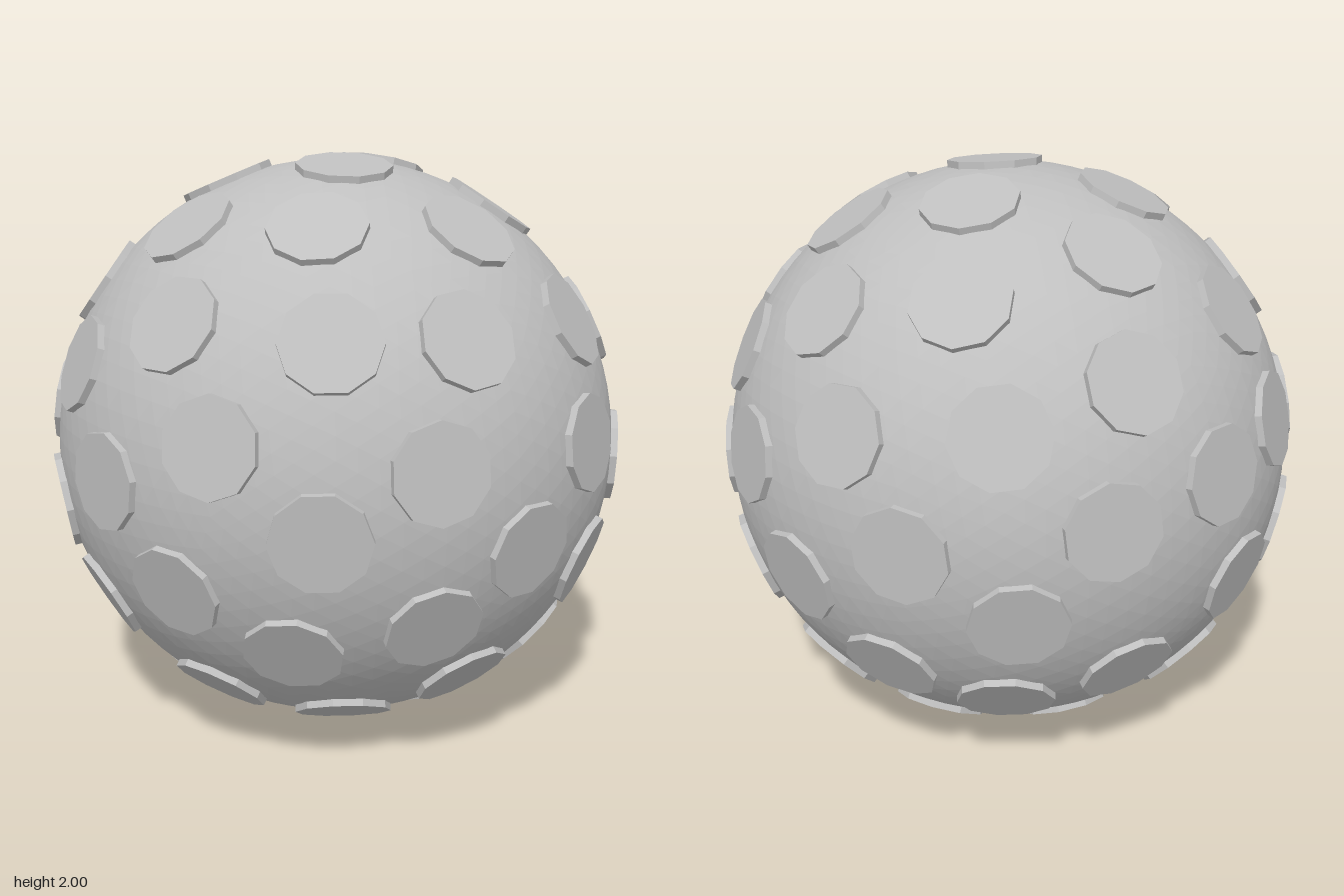
import * as THREE from 'three';

const BALL_RADIUS = 0.977;
const DISC_RADIUS = 0.163;
const DISC_TOP = 0.987;   // distance of a disc's flat face from the centre
const DISC_DEPTH = 0.05;

// Scattered disc directions, grouped by the side they face.
// Each pair gives the two minor coordinates; the major one follows from the sphere.
const top = [ // x, z
  [-0.065, 0.14], [0.275, -0.12], [-0.265, -0.285], [0.055, -0.545], [-0.58, -0.02],
  [-0.36, 0.405], [0.12, 0.57], [0.445, 0.305], [0.54, -0.38],
];
const bottom = [ // x, z
  [0.45, -0.14], [0.10, -0.40], [-0.115, 0], [0.22, 0.31], [-0.29, 0.45],
  [-0.625, 0.2], [0.46, 0.54], [0.53, -0.57], [-0.48, -0.27],
];
const front = [ // x, y
  [-0.105, 0.51], [-0.28, 0.14], [0.37, 0.12], [0.06, -0.165], [-0.245, -0.39], [0.425, 0.495],
  [-0.5, 0.52], [-0.61, -0.06], [-0.605, -0.48], [0.45, -0.335], [0.01, -0.68],
];
const back = [ // x, y
  [0.225, 0.515], [-0.33, 0.59], [0.625, 0.40], [0.625, -0.21], [0.39, 0.10], [0.22, -0.50],
  [-0.40, 0.23], [-0.03, 0.18], [-0.17, -0.25], [-0.56, -0.24], [-0.19, -0.67],
];
const leftSide = [ // y, z
  [-0.045, 0.65], [0.415, 0.47], [-0.355, 0.4], [0.645, 0.045], [0.345, -0.215],
  [0.15, 0.215], [-0.19, -0.045], [-0.675, 0.115], [-0.48, -0.31], [0.02, -0.465],
];
const rightSide = [ // y, z
  [0.57, -0.45], [0.35, -0.19], [0.54, 0.24], [-0.29, 0.35], [0.21, 0.5],
  [0.13, -0.62], [-0.17, -0.36], [0.03, 0.10], [-0.57, -0.53], [-0.465, -0.14],
];

// Major coordinate on the sphere through the disc faces
const rise = (a, b) => Math.sqrt(DISC_TOP * DISC_TOP - a * a - b * b);

function discDirections() {
  const v = (x, y, z) => new THREE.Vector3(x, y, z).normalize();
  return [
    ...top.map(([x, z]) => v(x, rise(x, z), z)),
    ...bottom.map(([x, z]) => v(x, -rise(x, z), z)),
    ...front.map(([x, y]) => v(x, y, rise(x, y))),
    ...back.map(([x, y]) => v(x, y, -rise(x, y))),
    ...leftSide.map(([y, z]) => v(rise(y, z), y, z)),
    ...rightSide.map(([y, z]) => v(-rise(y, z), y, z)),
  ];
}

export function createModel() {
  const model = new THREE.Group();
  model.name = 'studdedBall';
  const grey = new THREE.MeshStandardMaterial({ color: 0xbfbfbf, flatShading: true });
  grey.name = 'grey';

  // Faceted core ball
  const ball = new THREE.Mesh(new THREE.IcosahedronGeometry(BALL_RADIUS, 15), grey);
  ball.name = 'ball';
  ball.position.y = 1;
  model.add(ball);

  // Ten-sided discs lying on the surface
  const discs = new THREE.Group();
  discs.name = 'discs';
  discs.position.y = 1;
  const discGeometry = new THREE.CylinderGeometry(DISC_RADIUS, DISC_RADIUS, DISC_DEPTH, 10);
  discGeometry.rotateY(Math.PI / 10);
  const up = new THREE.Vector3(0, 1, 0);
  for (const direction of discDirections()) {
    const disc = new THREE.Mesh(discGeometry, grey);
    disc.name = 'disc';
    disc.quaternion.setFromUnitVectors(up, direction);
    disc.position.copy(direction).multiplyScalar(DISC_TOP - DISC_DEPTH / 2);
    discs.add(disc);
  }
  model.add(discs);
  return model;
}
